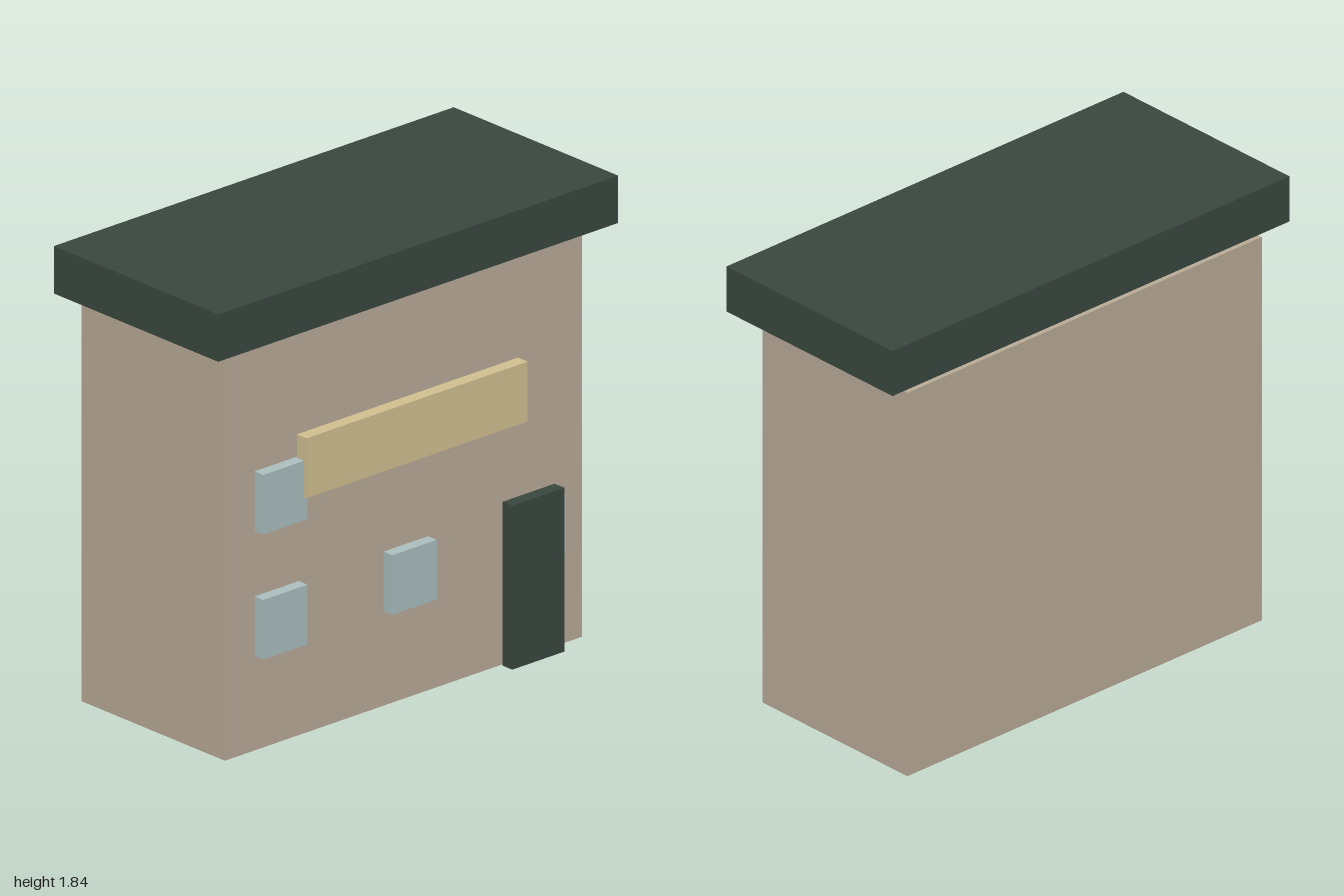
import * as THREE from 'three';

const material = (color) => new THREE.MeshStandardMaterial({ color });

export function createModel() {
  const model = new THREE.Group();
  const wall = material(0xbaac98);
  const dark = material(0x3a4840);
  const glass = material(0xacc0c0);
  const panel = material(0xd2c192);

  // Box given by its extents on each axis
  const block = (name, mat, [x0, x1], [y0, y1], [z0, z1]) => {
    const mesh = new THREE.Mesh(new THREE.BoxGeometry(x1 - x0, y1 - y0, z1 - z0), mat);
    mesh.position.set((x0 + x1) / 2, (y0 + y1) / 2, (z0 + z1) / 2);
    mesh.name = name;
    model.add(mesh);
  };

  // Building body and the roof slab floating just above it
  block('walls', wall, [-0.893, 0.893], [0, 1.606], [-0.415, 0.369]);
  block('roof', dark, [-1, 1], [1.646, 1.835], [-0.45, 0.45]);

  // Shop front: sign board and door stand slightly off the wall
  block('signBoard', panel, [-0.553, 0.553], [0.976, 1.215], [0.391, 0.444]);
  block('door', dark, [0.476, 0.736], [0.007, 0.661], [0.391, 0.444]);

  // Windows: three on the lower row, one on the upper row
  const windows = [[-0.646, 0.503], [0, 0.503], [0.646, 0.503], [-0.646, 1.002]];
  for (const [x, y] of windows) {
    block('window', glass, [x - 0.111, x + 0.111], [y - 0.119, y + 0.119], [0.382, 0.43]);
  }

  return model;
}
